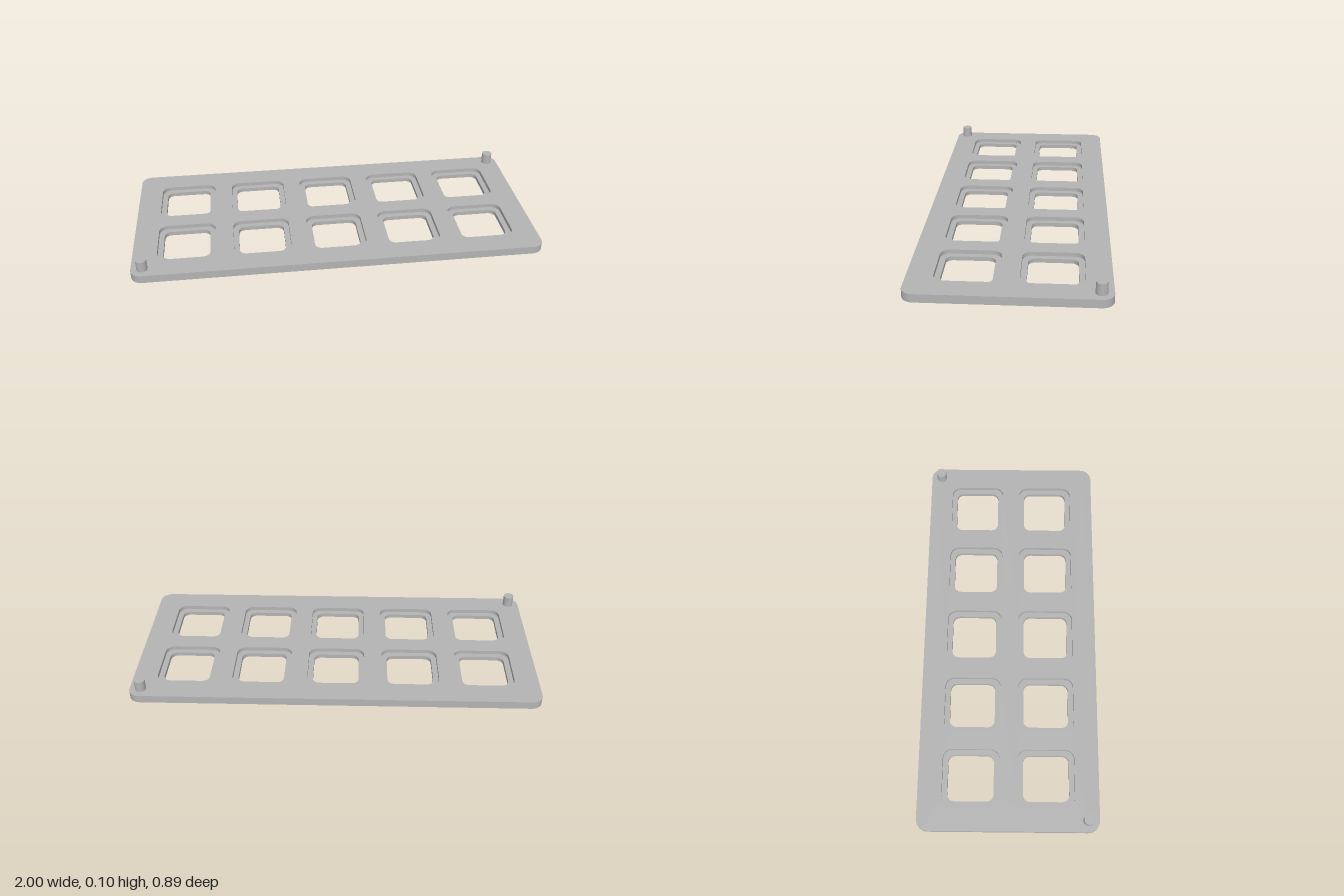
import * as THREE from 'three';
import { mergeGeometries } from 'three/addons/utils/BufferGeometryUtils.js';

const THICK = 0.04, LEDGE = 0.02;

// Counter-clockwise rounded rectangle: points with their outward normals
function roundedLoop(cx, cy, w, h, r, steps = 8) {
  const loop = [];
  [[1, 1], [-1, 1], [-1, -1], [1, -1]].forEach(([sx, sy], q) => {
    for (let i = 0; i <= steps; i++) {
      const a = (q + i / steps) * Math.PI / 2, nx = Math.cos(a), ny = Math.sin(a);
      loop.push({ nx, ny, x: cx + sx * (w / 2 - r) + r * nx, y: cy + sy * (h / 2 - r) + r * ny });
    }
  });
  return loop;
}

const toPoints = loop => loop.map(p => new THREE.Vector2(p.x, p.y));

// Flat face bounded by a loop, with holes
function face(outer, holes, height) {
  const shape = new THREE.Shape(toPoints(outer));
  shape.holes = holes.map(h => new THREE.Path(toPoints(h)));
  return new THREE.ShapeGeometry(shape).translate(0, 0, height);
}

// Upright band along a loop, facing outward (side 1) or inward (side -1)
function wall(loop, z0, z1, side) {
  const pos = [], nor = [], uv = [], idx = [], n = loop.length;
  loop.forEach((p, i) => {
    for (const z of [z0, z1]) {
      pos.push(p.x, p.y, z);
      nor.push(side * p.nx, side * p.ny, 0);
      uv.push(i / n, z);
    }
    const a = 2 * i, b = 2 * ((i + 1) % n);
    if (side > 0) idx.push(a, b, b + 1, a, b + 1, a + 1);
    else idx.push(a, b + 1, b, a, a + 1, b + 1);
  });
  const g = new THREE.BufferGeometry();
  g.setAttribute('position', new THREE.Float32BufferAttribute(pos, 3));
  g.setAttribute('normal', new THREE.Float32BufferAttribute(nor, 3));
  g.setAttribute('uv', new THREE.Float32BufferAttribute(uv, 2));
  g.setIndex(idx);
  return g;
}

export function createModel() {
  const group = new THREE.Group();
  const grey = new THREE.MeshStandardMaterial({ color: 0xb4b4b4 });
  grey.name = 'grey';
  const add = (name, geometry) => {
    const mesh = new THREE.Mesh(geometry, grey);
    mesh.name = name;
    group.add(mesh);
    return mesh;
  };

  // Two rows of five windows, each a wide recess above a narrower opening
  const outline = roundedLoop(0, 0, 2, 0.89, 0.055);
  const recesses = [], openings = [];
  for (const y of [-0.186, 0.186]) {
    for (let i = -2; i <= 2; i++) {
      recesses.push(roundedLoop(i * 0.371, y, 0.281, 0.281, 0.045));
      openings.push(roundedLoop(i * 0.371, y, 0.227, 0.227, 0.034));
    }
  }

  // Plate: top, underside and rim
  add('plate', mergeGeometries([
    face(outline, recesses, THICK),
    face(outline, openings, 0).rotateX(Math.PI),
    wall(outline, 0, THICK, 1),
  ]).rotateX(-Math.PI / 2));

  // Stepped window frames
  recesses.forEach((recess, i) => {
    add('windowFrame' + (i + 1), mergeGeometries([
      wall(recess, LEDGE, THICK, -1),
      face(recess, [openings[i]], LEDGE),
      wall(openings[i], 0, LEDGE, -1),
    ]).rotateX(-Math.PI / 2));
  });

  // Locating pegs in two opposite corners
  const pegGeometry = new THREE.CylinderGeometry(0.026, 0.026, 0.056, 32);
  for (const s of [-1, 1]) {
    add(s < 0 ? 'frontRightPeg' : 'backLeftPeg', pegGeometry)
      .position.set(s * 0.945, THICK + 0.028, -s * 0.39);
  }
  return group;
}
